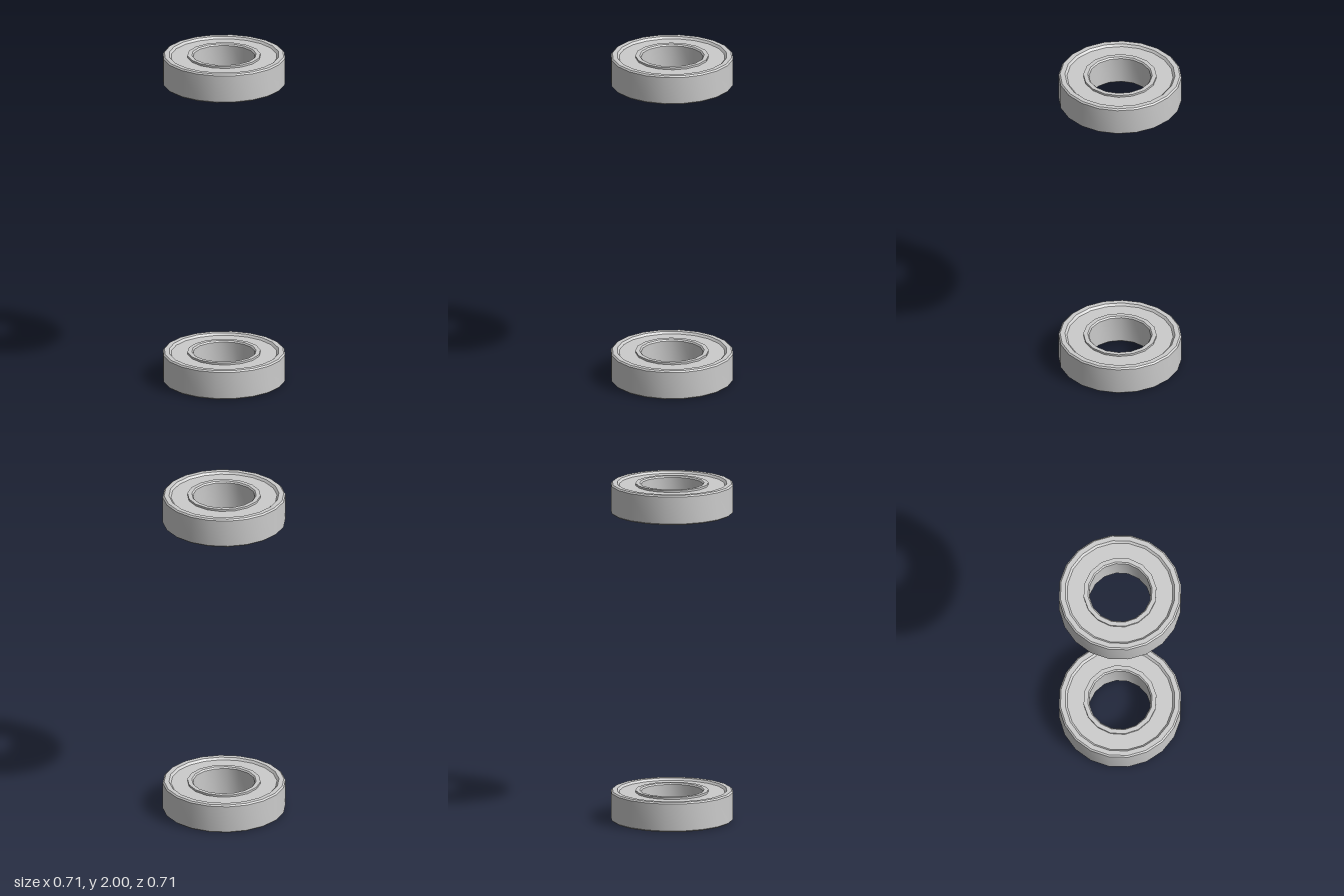
import * as THREE from 'three';
import { toCreasedNormals } from 'three/addons/utils/BufferGeometryUtils.js';

const H = 0.176;        // bearing height
const RECESS = 0.012;   // depth of the shields below the ring faces
const BEVEL = 0.008;
const OUTER_SIDES = 20, INNER_SIDES = 16;
const OUTER_EDGE = 0.308, INNER_EDGE = 0.213;

const material = new THREE.MeshStandardMaterial({ color: 0xcccccc });

// Ring surface turned from a profile of [radius, y] points
function ring(name, profile, sides) {
  const points = profile.map(([r, y]) => new THREE.Vector2(r, y));
  const geometry = toCreasedNormals(new THREE.LatheGeometry(points, sides), 0.5);
  const mesh = new THREE.Mesh(geometry, material);
  mesh.name = name;
  return mesh;
}

function polygon(radius, sides) {
  return Array.from({ length: sides }, (_, i) => {
    const a = (i / sides) * Math.PI * 2;
    return new THREE.Vector2(radius * Math.cos(a), radius * Math.sin(a));
  });
}

// Flat annular cover between the two rings
function shield(name, y, facing) {
  const shape = new THREE.Shape(polygon(OUTER_EDGE, OUTER_SIDES));
  shape.holes.push(new THREE.Path(polygon(INNER_EDGE, INNER_SIDES)));
  const geometry = new THREE.ShapeGeometry(shape).rotateX(-facing * Math.PI / 2);
  const mesh = new THREE.Mesh(geometry, material);
  mesh.name = name;
  mesh.position.y = y;
  return mesh;
}

function bearing(name, y) {
  const group = new THREE.Group();
  group.name = name;
  group.position.y = y;
  group.add(
    // Outer race with bevelled rims and a sloped inner lip
    ring('outerRace', [
      [OUTER_EDGE, RECESS], [0.32, 0], [0.348, 0], [0.357, BEVEL],
      [0.357, H - BEVEL], [0.348, H], [0.32, H], [OUTER_EDGE, H - RECESS],
    ], OUTER_SIDES),
    // Inner race with bevelled bore
    ring('innerRace', [
      [INNER_EDGE, H - RECESS], [INNER_EDGE, H], [0.188, H], [0.18, H - BEVEL],
      [0.18, BEVEL], [0.188, 0], [INNER_EDGE, 0], [INNER_EDGE, RECESS],
    ], INNER_SIDES),
    shield('topShield', H - RECESS, 1),
    shield('bottomShield', RECESS, -1),
  );
  return group;
}

export function createModel() {
  const model = new THREE.Group();
  model.name = 'bearingPair';
  model.add(bearing('lowerBearing', 0), bearing('upperBearing', 2 - H));
  return model;
}
